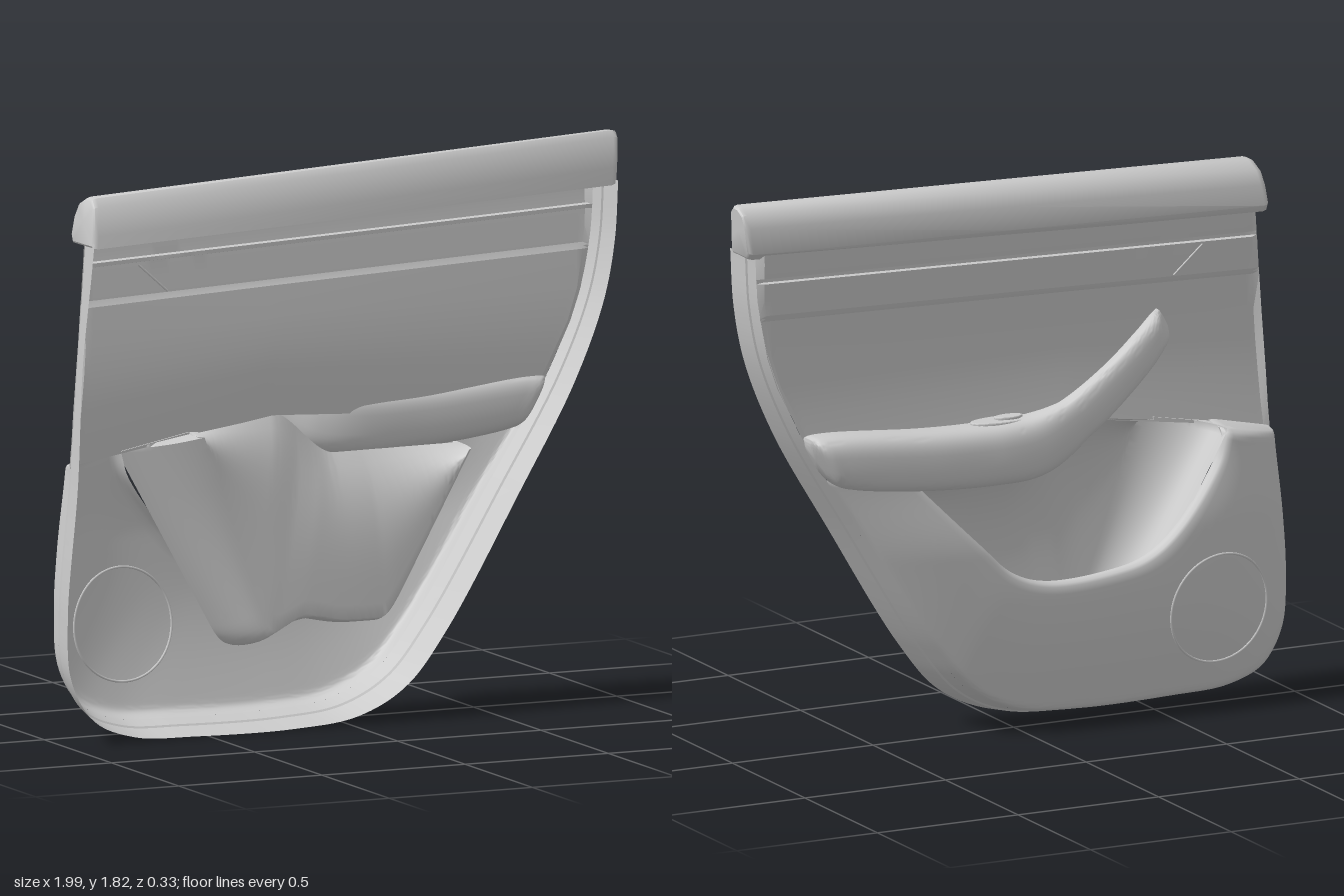
import * as THREE from 'three';
import { toCreasedNormals } from 'three/addons/utils/BufferGeometryUtils.js';

const V = (x, y, z = 0) => new THREE.Vector3(x, y, z);
const lerp = THREE.MathUtils.lerp;
const smooth = THREE.MathUtils.smoothstep;
const material = new THREE.MeshStandardMaterial({ color: 0xcccccc, side: THREE.DoubleSide });

// Depth rules: rim at the back edge, upper trim plane, and lower bulge
const rimZ = (x, y) => 0.165 - 0.105 * Math.pow(Math.max(0, (x - 0.1) / 0.9), 1.5)
  - (x < 0 ? 0.03 * Math.exp(-(((y - 1.2) / 0.28) ** 2)) : 0);
const trimZ = (x) => lerp(0.015, -0.04, (x + 0.9) / 1.87);
const bulgeZ = (y) => -0.132 + 0.03 * smooth(y, 0.6, 0.9);
// Height rules: joint between upper and lower panels, and the sloping belt line
const seamY = (x) => (x < -0.2 ? 0.98 + 0.155 * (x + 0.2) : 0.98 - 0.055 * (x + 0.2));
const beltY = (x, y) => y + 0.035 * (x + 0.9);

// Sheet through rows of points
function sheet(rows, closed = false, crease = 0.6) {
  const n = rows[0].length, index = [];
  const cols = closed ? n : n - 1;
  for (let i = 0; i < rows.length - 1; i++) {
    for (let j = 0; j < cols; j++) {
      const a = i * n + j, b = i * n + (j + 1) % n;
      index.push(a, b, a + n, b, b + n, a + n);
    }
  }
  const geo = new THREE.BufferGeometry().setFromPoints(rows.flat());
  geo.setIndex(index);
  return toCreasedNormals(geo, crease);
}

const spline = (pts, n) =>
  new THREE.CatmullRomCurve3(pts.map((p) => V(p[0], p[1])), false, 'centripetal').getSpacedPoints(n);

// Evenly spaced points along a polyline, with lightly rounded corners
function roundedPath(pts, n) {
  const path = new THREE.CurvePath();
  const p = pts.map((q) => V(q[0], q[1]));
  let start = p[0];
  for (let i = 1; i < p.length - 1; i++) {
    const a = p[i].clone().lerp(p[i - 1], 0.12), b = p[i].clone().lerp(p[i + 1], 0.2);
    path.add(new THREE.LineCurve3(start, a));
    path.add(new THREE.QuadraticBezierCurve3(a, p[i], b));
    start = b;
  }
  path.add(new THREE.LineCurve3(start, p[p.length - 1]));
  return path.getSpacedPoints(n);
}

// Offset a polyline towards the inside of the panel
const inset = (pts, d) => pts.map((p, i) => {
  const t = pts[Math.min(i + 1, pts.length - 1)].clone().sub(pts[Math.max(i - 1, 0)]).normalize();
  return V(p.x - t.y * d, p.y + t.x * d);
});

export function createModel() {
  const group = new THREE.Group();
  const add = (name, geo) => {
    const mesh = new THREE.Mesh(geo, material);
    mesh.name = name;
    group.add(mesh);
    return mesh;
  };

  // Outer edge, from the upper right-hand side down, round and up again
  const outline = spline([[-0.9, 1.6], [-0.925, 1.25], [-0.955, 0.85], [-0.995, 0.4], [-0.98, 0.2],
    [-0.9, 0.07], [-0.76, 0.012], [-0.55, 0], [-0.2, 0], [0.02, 0.025], [0.19, 0.11], [0.33, 0.27],
    [0.6, 0.69], [0.81, 1.03], [0.92, 1.28], [0.962, 1.47], [0.975, 1.66]], 200);
  const inner = inset(outline, 0.038);
  const ring = (d, f) => inset(outline, d).map((p) => V(p.x, p.y, lerp(rimZ(p.x, p.y), trimZ(p.x), f)));
  add('sideWall', sheet([ring(0, 0), ring(0.018, 0.64), ring(0.024, 0.67), ring(0.038, 1)], false, 0.5));

  // Upper trim with belt groove and seam: [height step, depth offset]
  const edgeX = (y, list) => list.reduce((m, p) => (Math.abs(p.y - y) < Math.abs(m.y - y) ? p : m)).x;
  const leftEdge = inner.filter((p) => p.x < -0.7), rightEdge = inner.filter((p) => p.x > 0.3);
  // Steps up to 1 span seam to belt; beyond 1 they are heights above the belt
  const trimY = (x, f) => (f <= 1 ? lerp(seamY(x), beltY(x, 1.38), f) : beltY(x, 1.38 + f - 1));
  const profile = [[0, 0.004], [0.15, 0.01], [0.35, 0.016], [0.55, 0.017], [0.75, 0.013], [0.98, 0.005],
    [1, 0], [1.01, -0.004], [1.06, -0.007], [1.115, -0.011], [1.118, 0.003], [1.13, 0.003],
    [1.133, -0.014], [1.18, -0.02], [1.24, -0.022]];
  const upperRows = profile.map(([f, off]) => {
    const xl = edgeX(trimY(-0.9, f), leftEdge) - 0.003;
    const xr = edgeX(trimY(0.85, f), rightEdge) + 0.003;
    return Array.from({ length: 81 }, (_, j) => {
      const x = lerp(xl, xr, j / 80);
      return V(x, trimY(x, f), trimZ(x) + (j % 80 ? off : 0));
    });
  });
  const upper = add('upperTrim', sheet(upperRows, false, 0.3));

  // Lower bulging panel, lofted from the outer edge to the pocket lip
  const N = 120;
  const low = inner.filter((p) => p.y < seamY(p.x) - 0.025);
  const lowEdge = new THREE.CatmullRomCurve3(low).getSpacedPoints(N);
  const lip = spline([[-0.72, 0.885], [-0.69, 0.8], [-0.52, 0.585], [-0.42, 0.515], [-0.3, 0.485],
    [-0.06, 0.475], [0.07, 0.52], [0.18, 0.62], [0.43, 0.87]], N);
  const rows = [];
  for (let i = 0; i <= 36; i++) {
    const w = (i / 36) ** 2;
    const ease = 0.42 * (1 - Math.exp(-w / 0.014)) + 0.58 * Math.sin(w * Math.PI / 2);
    rows.push(lowEdge.map((p, j) => {
      const q = p.clone().lerp(lip[j], w);
      q.z = lerp(trimZ(p.x), bulgeZ(q.y), ease);
      return q;
    }));
  }
  // Rolled lip
  const mid = V(-0.12, 0.9);
  [[0.02, 0.006], [0.035, 0.02], [0.03, 0.04]].forEach(([f, dz]) => rows.push(lip.map((p) => {
    const q = p.clone().lerp(mid, f);
    q.z = bulgeZ(p.y) + dz;
    return q;
  })));
  // Rounded shoulders back to the upper trim at both ends
  const end = (p) => [[0.012, 0.06], [0.022, 0.2], [0.03, 1]].map(([dy, f]) =>
    V(p.x, p.y + dy, lerp(p.z, trimZ(p.x) + 0.004, f)));
  const lowerRows = rows.map((row) => [...end(row[0]).reverse(), ...row, ...end(row[N])]);
  const lower = add('lowerPanel', sheet(lowerRows, false, 0.7));

  // Storage pocket shell behind the lip
  const mouth = roundedPath([[-0.71, 0.9], [-0.33, 0.225], [-0.14, 0.33], [0, 0.3], [0.17, 0.3], [0.475, 0.84]], N);
  const floor = roundedPath([[-0.47, 0.937], [-0.25, 0.29], [-0.13, 0.355], [0, 0.325], [0.155, 0.325], [0.44, 0.84]], N);
  const floorZ = (j) => lerp(0.065, 0.095, smooth(j / N, 0.1, 0.7));
  const pocketRows = [];
  for (let i = 0; i <= 12; i++) {
    const a = i / 12 * Math.PI / 2;
    pocketRows.push(mouth.map((p, j) => {
      const q = p.clone().lerp(floor[j], 1 - Math.cos(a));
      q.z = lerp(-0.095, floorZ(j), Math.sin(a));
      return q;
    }));
  }
  for (let i = 1; i <= 12; i++) {
    pocketRows.push(floor.map((p, j) => {
      const x = lerp(-0.5, 0.46, j / N), w = i / 12;
      const y = lerp(seamY(x) + 0.006, 0.845, smooth(x, -0.2, 0.02));
      return V(lerp(p.x, x, w), lerp(p.y, y, w), lerp(floorZ(j), trimZ(x), w ** 4));
    }));
  }
  // Ledge joining the pocket's side wall to the lower panel's shoulder
  add('pocket', sheet(pocketRows.map((r) => [
    V(-0.74, 0.905, Math.min(r[0].z, trimZ(-0.74) + 0.01)),
    V(r[0].x, r[0].y + 0.01, Math.min(r[0].z, trimZ(r[0].x) + 0.01)), ...r]), false, 0.6));

  // Raised seams laid on the panels
  const ray = new THREE.Raycaster();
  const seam = (name, target, pts, closed) => {
    const hits = pts.map((p) => {
      ray.set(V(p.x, p.y, -1), V(0, 0, 1));
      return ray.intersectObject(target)[0].point;
    });
    add(name, new THREE.TubeGeometry(new THREE.CatmullRomCurve3(hits, closed), 96, 0.004, 6, closed));
  };
  seam('speakerRing', lower, Array.from({ length: 48 }, (_, i) => {
    const a = i / 48 * Math.PI * 2;
    return V(-0.68 + 0.18 * Math.cos(a), 0.33 + 0.18 * Math.sin(a));
  }), true);
  seam('trimJoint', upper, [V(-0.67, 1.495), V(-0.62, 1.45), V(-0.57, 1.405)], false);

  // Armrest running into the pull handle: [x, y, z, half height, half depth, slope]
  const stations = [[0.735, 0.965, -0.06, 0.06, 0.035, 0.5], [0.72, 0.963, -0.07, 0.09, 0.07, 0.5],
    [0.66, 0.958, -0.076, 0.1, 0.08, 0.4], [0.35, 0.93, -0.083, 0.098, 0.083, 0.1],
    [0.12, 0.925, -0.085, 0.1, 0.083, 0.05], [-0.02, 0.94, -0.098, 0.1, 0.07, 0.35],
    [-0.15, 1.01, -0.124, 0.075, 0.042, 0.65], [-0.3, 1.11, -0.112, 0.065, 0.035, 0.68],
    [-0.42, 1.2, -0.084, 0.058, 0.035, 0.65], [-0.495, 1.255, -0.045, 0.048, 0.035, 0.55],
    [-0.525, 1.272, -0.005, 0.036, 0.02, 0.5]];
  const centre = new THREE.CatmullRomCurve3(stations.map((s) => V(s[0], s[1], s[2])));
  const size = new THREE.CatmullRomCurve3(stations.map((s) => V(s[3], s[4], s[5])));
  const power = (c) => Math.sign(c) * Math.pow(Math.abs(c), 0.65);
  const armRows = [];
  for (let i = 0; i <= 80; i++) {
    const c = centre.getPoint(i / 80), s = size.getPoint(i / 80);
    armRows.push(Array.from({ length: 40 }, (_, j) => {
      const a = j / 40 * Math.PI * 2, h = power(Math.sin(a)) * s.x;
      return V(c.x + h * Math.sin(s.z), c.y + h * Math.cos(s.z), c.z + power(Math.cos(a)) * s.y);
    }));
  }
  armRows.unshift(armRows[0].map(() => centre.getPoint(0)));
  armRows.push(armRows[0].map(() => centre.getPoint(1)));
  add('armrest', sheet(armRows, true, 0.9));

  // Window switch on the armrest
  const plate = (name, x, y, w, d, h) => {
    const shape = new THREE.Shape().absellipse(0, 0, w, d, 0, Math.PI * 2);
    const geo = new THREE.ExtrudeGeometry(shape, { depth: h, bevelSize: 0.004, bevelThickness: 0.004, bevelSegments: 2 });
    add(name, geo.rotateX(-Math.PI / 2).translate(x, y, -0.08));
  };
  plate('switchPlate', 0.08, 1.015, 0.11, 0.04, 0.012);
  plate('switchButton', 0.06, 1.024, 0.045, 0.02, 0.012);

  // Window sill cap, blended between two end profiles of [z, y]
  const endA = [[0.15, 1.58], [0.145, 1.62], [0.125, 1.71], [0.1, 1.735], [0.06, 1.735], [0.01, 1.71],
    [-0.015, 1.665], [-0.025, 1.6], [-0.01, 1.578]];
  const endB = [[0.055, 1.645], [0.05, 1.7], [0.032, 1.795], [0.012, 1.814], [-0.02, 1.812], [-0.05, 1.792],
    [-0.064, 1.75], [-0.067, 1.665], [-0.05, 1.645]];
  const section = (s, scale) => {
    const pts = endA.map((a, i) => {
      const y = lerp(a[1], endB[i][1], s), base = lerp(1.58, 1.645, s);
      return V(lerp(-0.9, 0.975, s) + (y - base) * 0.11, y, lerp(a[0], endB[i][0], s));
    });
    const mean = pts.reduce((m, p) => m.add(p), V(0, 0, 0)).divideScalar(pts.length);
    return pts.map((p) => p.lerp(mean, 1 - scale));
  };
  add('sillCap', sheet([section(0, 0), section(0, 0.88), section(0.003, 0.96), section(0.01, 1),
    section(0.5, 1), section(0.99, 1), section(0.997, 0.96), section(1, 0.88), section(1, 0)], true, 0.7));

  return group;
}
